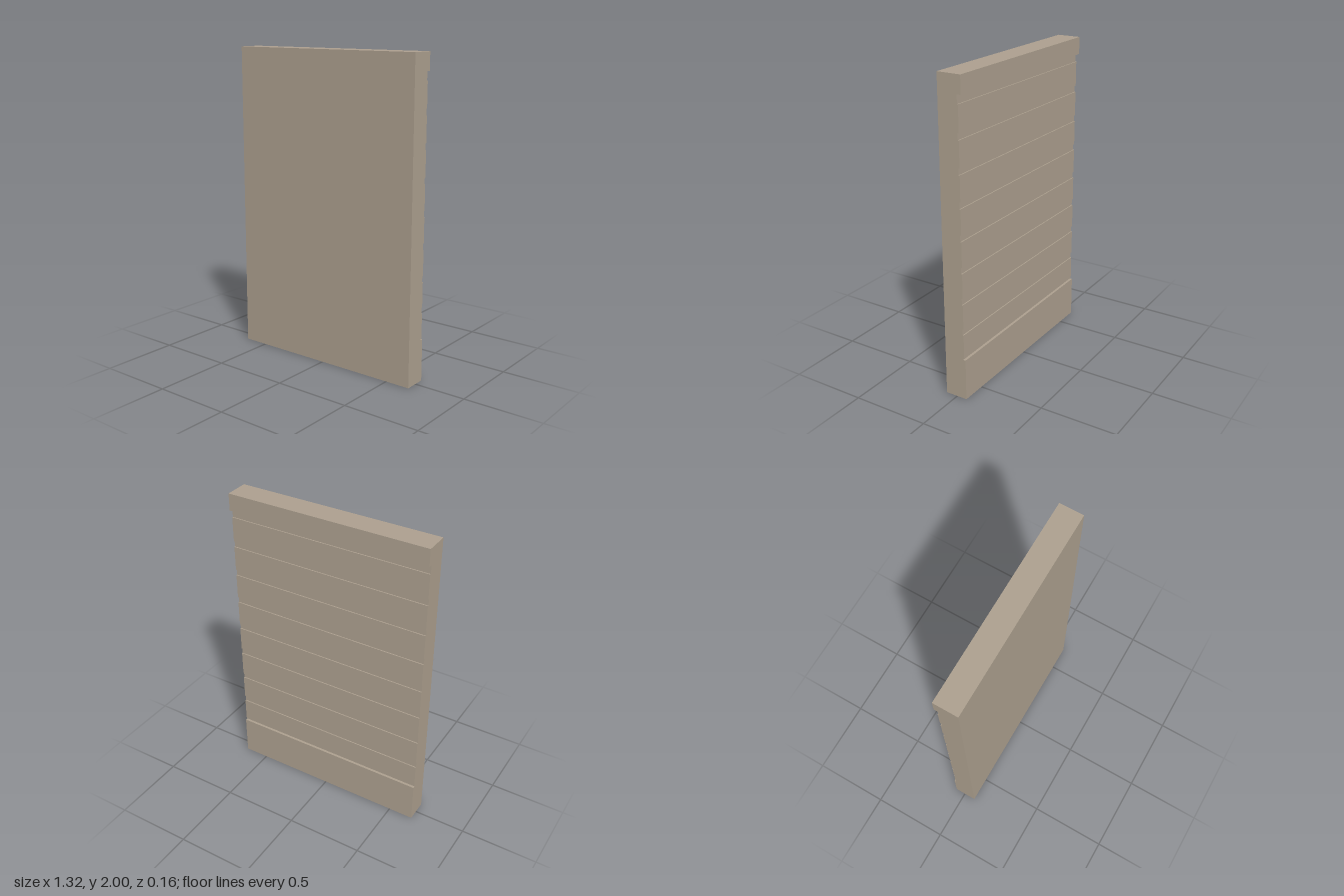
import * as THREE from 'three';

const WIDTH = 1.324;
const FRONT = 0.078; // z of the flat front face

export function createModel() {
  const group = new THREE.Group();
  const material = new THREE.MeshStandardMaterial({ color: 0xac9f8e });

  // Full-width board spanning y0..y1 and z0..z1
  function board(name, y0, y1, z0, z1) {
    const mesh = new THREE.Mesh(new THREE.BoxGeometry(WIDTH, y1 - y0, z1 - z0), material);
    mesh.name = name;
    mesh.position.set(0, (y0 + y1) / 2, (z0 + z1) / 2);
    group.add(mesh);
  }

  // Core panel with a flat front
  const back = -0.051;
  board('wallPanel', 0, 2, back, FRONT);

  // Projecting trim along the top and bottom of the back
  board('topTrim', 1.89, 2, -0.077, back);
  board('baseBoard', 0, 0.27, -0.068, back);

  // Horizontal siding boards separated by shallow grooves
  for (let i = 0; i < 8; i++) {
    const top = 1.837 - i * 0.2;
    board('sidingBoard' + (i + 1), top - 0.16, top, -0.058, back);
  }

  return group;
}
